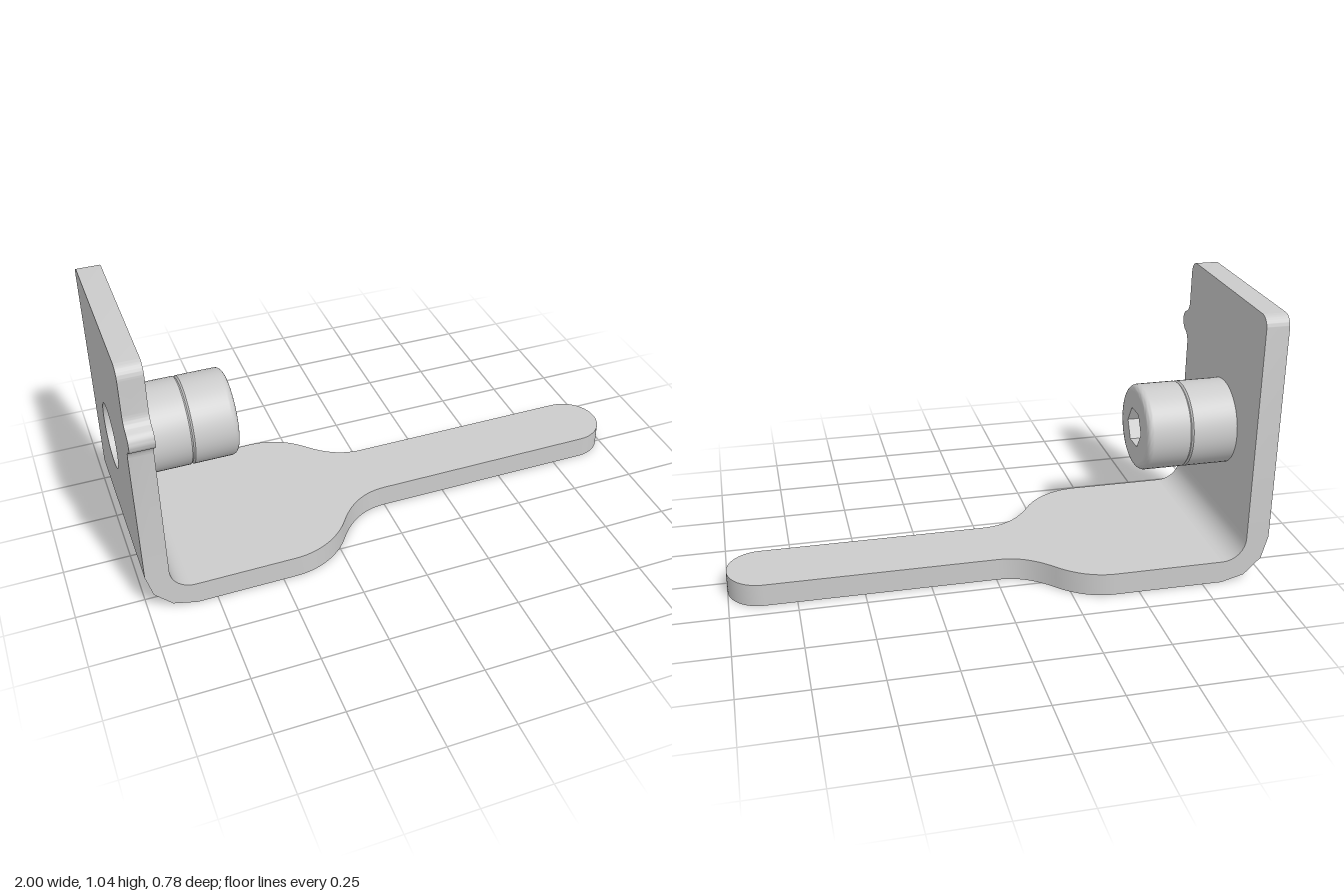
import * as THREE from 'three';
import { toCreasedNormals } from 'three/addons/utils/BufferGeometryUtils.js';

const T = 0.087;                    // sheet thickness
const R = 0.175;                    // outer bend radius
const Z0 = -0.39, Z1 = 0.33;        // sheet width
const AXIS_Y = 0.523, AXIS_Z = -0.06;

const grey = new THREE.MeshStandardMaterial({ color: 0xcccccc });
const flatGrey = new THREE.MeshStandardMaterial({ color: 0xcccccc, flatShading: true, side: THREE.DoubleSide });

function addMesh(parent, name, geometry, material = grey) {
  const mesh = new THREE.Mesh(geometry, material);
  mesh.name = name;
  parent.add(mesh);
  return mesh;
}

function extrude(shape, depth) {
  return new THREE.ExtrudeGeometry(shape, { depth, bevelEnabled: false, curveSegments: 14 });
}

// Upright plate, drawn in (z, y), with rounded top corners, side tab and screw hole
function wallGeometry() {
  const top = 1.045, c = 0.045;
  const s = new THREE.Shape();
  s.moveTo(Z0, R);
  s.lineTo(Z1, R);
  s.lineTo(Z1, 0.7);
  s.quadraticCurveTo(Z1 + 0.003, 0.733, 0.36, 0.744);
  s.bezierCurveTo(0.4, 0.76, 0.4, 0.81, 0.36, 0.826);
  s.quadraticCurveTo(Z1 + 0.003, 0.837, Z1, 0.87);
  s.lineTo(Z1, top - c);
  s.absarc(Z1 - c, top - c, c, 0, Math.PI / 2, false);
  s.lineTo(Z0 + c, top);
  s.absarc(Z0 + c, top - c, c, Math.PI / 2, Math.PI, false);
  s.closePath();
  const hole = new THREE.Path();
  hole.absarc(AXIS_Z, AXIS_Y, 0.12, 0, Math.PI * 2, true);
  s.holes.push(hole);
  return toCreasedNormals(extrude(s, T).rotateY(-Math.PI / 2).translate(-1 + T, 0, 0), 0.6);
}

// Quarter bend: coarse outside, finer inside, drawn in (x, y)
function bendGeometry() {
  const s = new THREE.Shape();
  const cx = -1 + R;
  const arc = (radius, from, to, n) => {
    for (let i = 0; i <= n; i++) {
      const a = from + (to - from) * i / n;
      const x = cx + radius * Math.cos(a), y = R + radius * Math.sin(a);
      if (s.curves.length === 0 && i === 0 && radius === R) s.moveTo(x, y);
      else s.lineTo(x, y);
    }
  };
  arc(R, Math.PI, Math.PI * 1.5, 3);
  arc(R - T, Math.PI * 1.5, Math.PI, 8);
  s.closePath();
  return toCreasedNormals(extrude(s, Z1 - Z0).translate(0, 0, Z0), 0.6);
}

// Flat lever, drawn in (x, -z): wide base necking down to a round-ended handle
function leverGeometry() {
  const h = 0.129, mid = 0.063;
  const s = new THREE.Shape();
  s.moveTo(-1 + R, -Z1);
  s.lineTo(-0.45, -Z1);
  s.bezierCurveTo(-0.35, -Z1, -0.265, -0.275, -0.215, -0.2);
  s.bezierCurveTo(-0.165, -0.125, -0.1, mid - h, 0, mid - h);
  s.lineTo(1 - h, mid - h);
  s.absarc(1 - h, mid, h, -Math.PI / 2, Math.PI / 2, false);
  s.lineTo(0, mid + h);
  s.bezierCurveTo(-0.09, mid + h, -0.15, 0.235, -0.205, 0.295);
  s.bezierCurveTo(-0.26, 0.355, -0.33, -Z0, -0.41, -Z0);
  s.lineTo(-1 + R, -Z0);
  s.closePath();
  return toCreasedNormals(extrude(s, T).rotateX(-Math.PI / 2), 0.6);
}

// Turned part along +x
function turned(points) {
  const g = new THREE.LatheGeometry(points.map(p => new THREE.Vector2(p[0], p[1])), 48);
  return toCreasedNormals(g.rotateZ(-Math.PI / 2), 0.6);
}

function createScrew() {
  const screw = new THREE.Group();
  screw.name = 'screw';
  screw.position.set(-1 + T, AXIS_Y, AXIS_Z);
  const split = 0.176, end = 0.348, r = 0.164, f = 0.024;

  addMesh(screw, 'spacer', turned([[0, 0], [r, 0], [r, split - 0.006], [r - 0.006, split], [0, split]]));

  // Cap head with rounded rim, left open at the face
  const rim = [[0, split], [r - 0.006, split], [r, split + 0.006]];
  for (let i = 0; i <= 6; i++) {
    const a = i / 6 * Math.PI / 2;
    rim.push([r - f + f * Math.cos(a), end - f + f * Math.sin(a)]);
  }
  addMesh(screw, 'screwHead', turned(rim));

  // Face with hexagonal recess
  const hexR = 0.076, depth = 0.09;
  const face = new THREE.Shape();
  face.absarc(0, 0, r - f, 0, Math.PI * 2, false);
  const hex = new THREE.Path();
  for (let i = 0; i < 6; i++) {
    const a = -i * Math.PI / 3;
    hex[i ? 'lineTo' : 'moveTo'](hexR * Math.cos(a), hexR * Math.sin(a));
  }
  hex.closePath();
  face.holes.push(hex);
  addMesh(screw, 'headFace', new THREE.ShapeGeometry(face, 24).rotateY(Math.PI / 2).translate(end, 0, 0));
  addMesh(screw, 'socketWalls', new THREE.CylinderGeometry(hexR, hexR, depth, 6, 1, true)
    .rotateZ(-Math.PI / 2).translate(end - depth / 2, 0, 0), flatGrey);
  addMesh(screw, 'socketFloor', new THREE.CircleGeometry(hexR, 6)
    .rotateY(Math.PI / 2).translate(end - depth, 0, 0));
  return screw;
}

export function createModel() {
  const model = new THREE.Group();
  model.name = 'leverBracket';
  addMesh(model, 'uprightPlate', wallGeometry());
  addMesh(model, 'bend', bendGeometry());
  addMesh(model, 'lever', leverGeometry());
  model.add(createScrew());
  return model;
}
